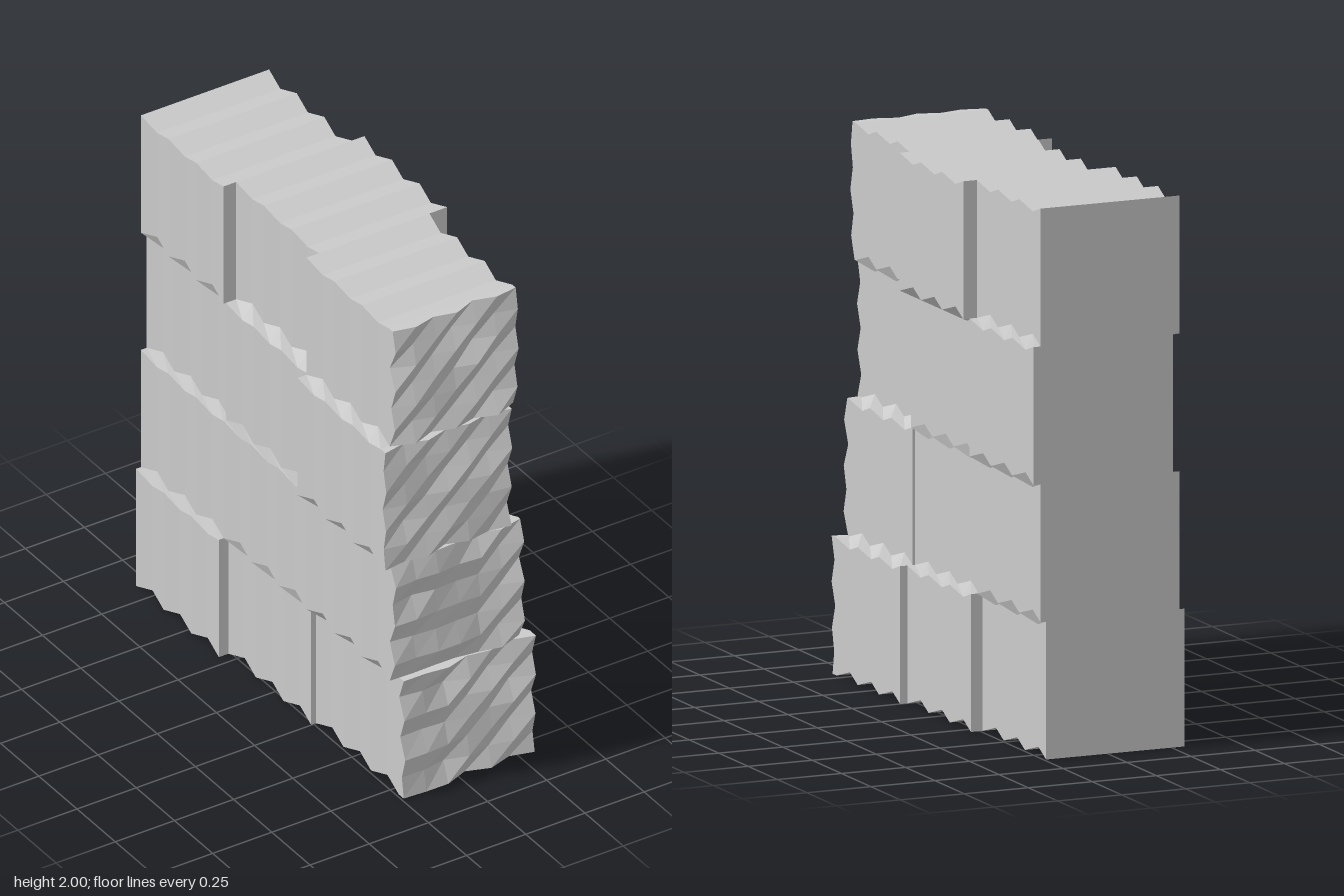
import * as THREE from 'three';

const ROWS = 4, ROW_H = 0.5;
const Z_BACK = -0.835, Z_FRONT = 0.79, ROUGH = 0.045;
const RIDGES = 3;                       // ridges per block
const PITCH = (Z_FRONT - Z_BACK) / (3 * RIDGES);
const GROOVE_X = 0.011, GROOVE_Y = 0.028;

// [min x, max x] of each block, from the bottom row up
const COLUMNS = {
  back: [[-0.30, 0.24], [-0.28, 0.262], [-0.255, 0.29], [-0.28, 0.262]],
  middle: [[-0.26, 0.285], [-0.28, 0.255], [-0.27, 0.27], [-0.227, 0.315]],
  front: [[-0.24, 0.313], [-0.28, 0.265], [-0.317, 0.215], [-0.28, 0.24]],
};

const stone = new THREE.MeshStandardMaterial({ color: 0xcccccc, flatShading: true });

// Small seeded generator
function seeded(seed) {
  return () => {
    seed = (seed * 16807) % 2147483647;
    return seed / 2147483647;
  };
}

// Outline of a stacked column, counter-clockwise; grooves pull it inwards
function outline(blocks, groove) {
  const dx = groove * GROOVE_X, dy = groove * GROOVE_Y;
  const right = [], left = [];
  blocks.forEach(([x0, x1], r) => {
    const y0 = r * ROW_H + dy, y1 = (r + 1) * ROW_H - dy;
    right.push([x1 - dx, y0], [x1 - dx, y1]);
    left.push([x0 + dx, y0], [x0 + dx, y1]);
  });
  return right.concat(left.reverse());
}

// Column of four offset blocks, lofted along z through ridges and grooves
function columnGeometry(blocks, zStart) {
  const pos = [];
  const quad = (a, b, c, d) => pos.push(...a, ...b, ...c, ...a, ...c, ...d);
  const steps = RIDGES * 2;
  const section = (s) => outline(blocks, s % 2).map(([x, y]) => [x, y, zStart + (s * PITCH) / 2]);
  for (let s = 0; s < steps; s++) {
    const a = section(s), b = section(s + 1);
    a.forEach((p, i) => {
      const j = (i + 1) % a.length;
      quad(p, a[j], b[j], b[i]);
    });
  }
  // Flat end faces
  const zEnd = zStart + RIDGES * PITCH;
  blocks.forEach(([x0, x1], r) => {
    const y0 = r * ROW_H, y1 = y0 + ROW_H;
    quad([x0, y0, zEnd], [x1, y0, zEnd], [x1, y1, zEnd], [x0, y1, zEnd]);
    quad([x1, y0, zStart], [x0, y0, zStart], [x0, y1, zStart], [x1, y1, zStart]);
  });
  const geo = new THREE.BufferGeometry();
  geo.setAttribute('position', new THREE.Float32BufferAttribute(pos, 3));
  geo.computeVertexNormals();
  return geo;
}

// Rough hewn slab: grid of 6 x 6 facets, alternately raised and sunk
function roughFace([x0, x1], row) {
  const n = 6, rand = seeded(4211 + row * 977);
  const height = [];
  for (let ix = 0; ix <= n; ix++) {
    const phase = ix % 2 && rand() < 0.6 ? 1 : 0;
    height.push(Array.from({ length: n + 1 }, (_, iy) => {
      const raised = (iy + phase + row) % 2 === 0;
      return raised ? 0.72 + 0.28 * rand() : 0.06 + 0.45 * rand();
    }));
  }
  const w = x1 - x0;
  const geo = new THREE.BoxGeometry(w, ROW_H, ROUGH, n, n, 1);
  const p = geo.attributes.position;
  for (let i = 0; i < p.count; i++) {
    if (p.getZ(i) < 0) continue;
    const ix = Math.round((p.getX(i) / w + 0.5) * n);
    const iy = Math.round((p.getY(i) / ROW_H + 0.5) * n);
    p.setZ(i, ROUGH * (height[ix][iy] - 0.5));
  }
  geo.translate((x0 + x1) / 2, (row + 0.5) * ROW_H, Z_FRONT + ROUGH / 2);
  geo.computeVertexNormals();
  return geo;
}

export function createModel() {
  const model = new THREE.Group();
  model.name = 'stoneWall';
  const add = (name, geo) => {
    const mesh = new THREE.Mesh(geo, stone);
    mesh.name = name;
    model.add(mesh);
  };

  // Three columns of ridged blocks, back to front
  Object.entries(COLUMNS).forEach(([name, blocks], i) => {
    add(`${name}BlockColumn`, columnGeometry(blocks, Z_BACK + i * RIDGES * PITCH));
  });

  // Rough end of each front block
  for (let r = 0; r < ROWS; r++) add(`roughEnd${r + 1}`, roughFace(COLUMNS.front[r], r));

  return model;
}
